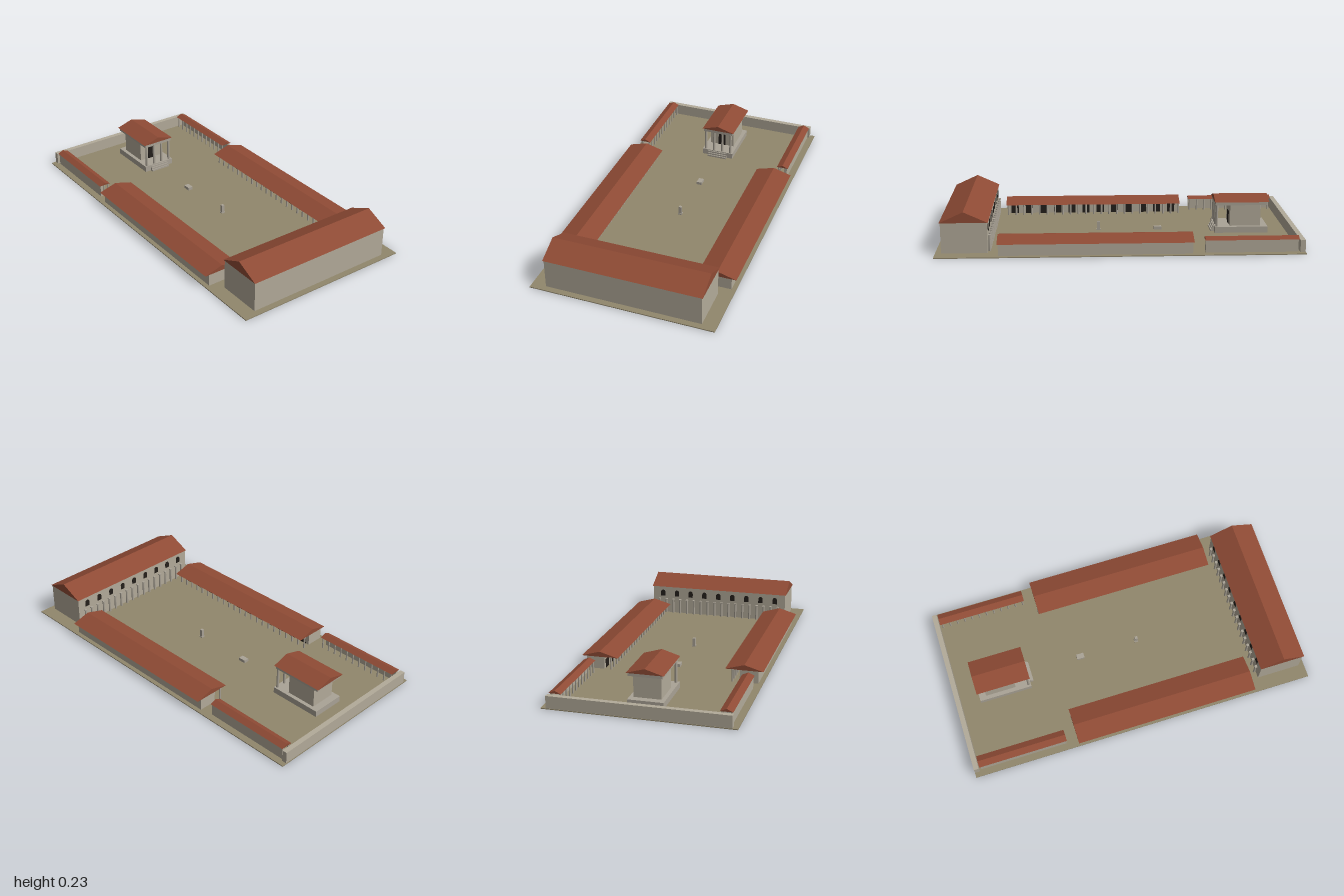
import * as THREE from 'three';

const mat = (color) => new THREE.MeshStandardMaterial({ color });
const M = {
  ground: mat(0x91876c),
  wall: mat(0xb3ab9a),
  stone: mat(0xaaa396),
  roof: mat(0x8f4b35),
  dark: mat(0x241f1b),
};
const FLOOR = 0.005;

function add(parent, name, geometry, material) {
  const mesh = new THREE.Mesh(geometry, material);
  mesh.name = name;
  parent.add(mesh);
  return mesh;
}

// Box given by its lower and upper bounds on each axis
function box(parent, name, [x0, x1], [y0, y1], [z0, z1], material) {
  const m = add(parent, name, new THREE.BoxGeometry(x1 - x0, y1 - y0, z1 - z0), material);
  m.position.set((x0 + x1) / 2, (y0 + y1) / 2, (z0 + z1) / 2);
  return m;
}

// Closed gable roof: width across the ridge, length along it, ridge on z
function gable(parent, name, width, length, rise, material) {
  const s = new THREE.Shape();
  s.moveTo(-width / 2, 0);
  s.lineTo(width / 2, 0);
  s.lineTo(0, rise);
  s.closePath();
  const g = new THREE.ExtrudeGeometry(s, { depth: length, bevelEnabled: false });
  g.translate(0, 0, -length / 2);
  return add(parent, name, g, material);
}

// Straight row of columns with small square capitals
function columnRow(parent, name, count, from, to, y0, y1, radius) {
  const row = new THREE.Group();
  row.name = name;
  const h = y1 - y0;
  const shaft = new THREE.CylinderGeometry(radius * 0.85, radius, h, 10);
  const cap = new THREE.BoxGeometry(radius * 2.1, 0.005, radius * 2.1);
  for (let i = 0; i < count; i++) {
    const t = count > 1 ? i / (count - 1) : 0;
    const x = from[0] + (to[0] - from[0]) * t;
    const z = from[1] + (to[1] - from[1]) * t;
    add(row, 'columnShaft', shaft, M.stone).position.set(x, y0 + h / 2, z);
    add(row, 'columnCapital', cap, M.stone).position.set(x, y1 - 0.0025, z);
  }
  parent.add(row);
}

// Large hall across the +x end, with a colonnade and upper windows
function buildHall() {
  const hall = new THREE.Group();
  hall.name = 'hall';
  box(hall, 'hallBody', [0.717, 0.967], [FLOOR, 0.175], [-0.433, 0.433], M.wall);
  gable(hall, 'hallRoof', 0.262, 0.876, 0.06, M.roof).position.set(0.842, 0.175, 0);
  columnRow(hall, 'hallColonnade', 18, [0.708, -0.39], [0.708, 0.39], FLOOR, 0.097, 0.007);

  const w = 0.014, arch = new THREE.Shape();
  arch.moveTo(-w, 0);
  arch.lineTo(w, 0);
  arch.lineTo(w, 0.026);
  arch.absarc(0, 0.026, w, 0, Math.PI, false);
  arch.closePath();
  const window = new THREE.ExtrudeGeometry(arch, { depth: 0.004, bevelEnabled: false, curveSegments: 8 });
  for (let i = 0; i < 9; i++) {
    const m = add(hall, 'hallWindow', window, M.dark);
    m.rotation.y = -Math.PI / 2;
    m.position.set(0.718, 0.113, (i - 4) * 0.092);
  }
  return hall;
}

// Row of shops behind a colonnade, along the +z side
function buildShops() {
  const shops = new THREE.Group();
  shops.name = 'shops';
  const x0 = -0.388, x1 = 0.658;
  box(shops, 'shopBody', [x0, x1], [FLOOR, 0.076], [0.385, 0.488], M.wall);
  const roof = gable(shops, 'shopRoof', 0.21, 1.056, 0.03, M.roof);
  roof.rotation.y = Math.PI / 2;
  roof.position.set(0.135, 0.075, 0.41);
  columnRow(shops, 'shopColonnade', 23, [x0, 0.345], [x1 - 0.006, 0.345], FLOOR, 0.076, 0.006);
  for (let i = 0; i < 12; i++) {
    const x = x0 + (i + 0.5) * (x1 - x0) / 12;
    box(shops, 'shopDoor', [x - 0.022, x + 0.022], [FLOOR, 0.055], [0.382, 0.386], M.dark);
  }
  return shops;
}

// Narrow covered walk on the +z side of the sanctuary court
function buildWalk() {
  const walk = new THREE.Group();
  walk.name = 'coveredWalk';
  box(walk, 'walkWall', [-0.96, -0.458], [FLOOR, 0.076], [0.458, 0.474], M.wall);
  const roof = gable(walk, 'walkRoof', 0.068, 0.51, 0.015, M.roof);
  roof.rotation.y = Math.PI / 2;
  roof.position.set(-0.71, 0.075, 0.446);
  columnRow(walk, 'walkColonnade', 12, [-0.953, 0.422], [-0.465, 0.422], FLOOR, 0.076, 0.005);
  return walk;
}

// Temple on a podium, facing +x
function buildTemple() {
  const temple = new THREE.Group();
  temple.name = 'temple';
  const top = 0.04;
  box(temple, 'podium', [-0.86, -0.556], [FLOOR, top], [-0.097, 0.097], M.stone);
  for (let i = 0; i < 3; i++) {
    box(temple, 'step', [-0.557, -0.535 - i * 0.007], [FLOOR + i * 0.01, 0.015 + i * 0.01], [-0.06, 0.06], M.stone);
  }
  box(temple, 'cella', [-0.82, -0.645], [top, 0.165], [-0.075, 0.075], M.wall);
  box(temple, 'templeDoor', [-0.646, -0.642], [top, 0.115], [-0.022, 0.022], M.dark);
  columnRow(temple, 'frontColumns', 4, [-0.568, -0.08], [-0.568, 0.08], top, 0.17, 0.008);
  box(temple, 'entablature', [-0.855, -0.56], [0.166, 0.185], [-0.092, 0.092], M.stone);
  const roof = gable(temple, 'templeRoof', 0.2, 0.31, 0.03, M.roof);
  roof.rotation.y = Math.PI / 2;
  roof.position.set(-0.71, 0.185, 0);
  return temple;
}

export function createModel() {
  const model = new THREE.Group();
  model.name = 'forum';
  box(model, 'ground', [-1, 1], [0, FLOOR], [-0.512, 0.512], M.ground);
  box(model, 'endWall', [-0.998, -0.97], [FLOOR, 0.072], [-0.484, 0.484], M.wall);
  model.add(buildHall(), buildTemple());

  // The long sides mirror each other; a half turn keeps the faces outward
  for (const build of [buildShops, buildWalk]) {
    const near = build();
    const far = build();
    far.traverse((o) => {
      if (o.isGroup) return;
      o.position.z *= -1;
    });
    model.add(near, far);
  }

  // Altar and statue pillar on the square
  box(model, 'altar', [-0.255, -0.211], [FLOOR, 0.022], [-0.015, 0.015], M.stone);
  box(model, 'pillarBase', [0.099, 0.121], [FLOOR, 0.011], [-0.011, 0.011], M.stone);
  box(model, 'pillar', [0.102, 0.118], [0.011, 0.055], [-0.008, 0.008], M.stone);
  return model;
}
